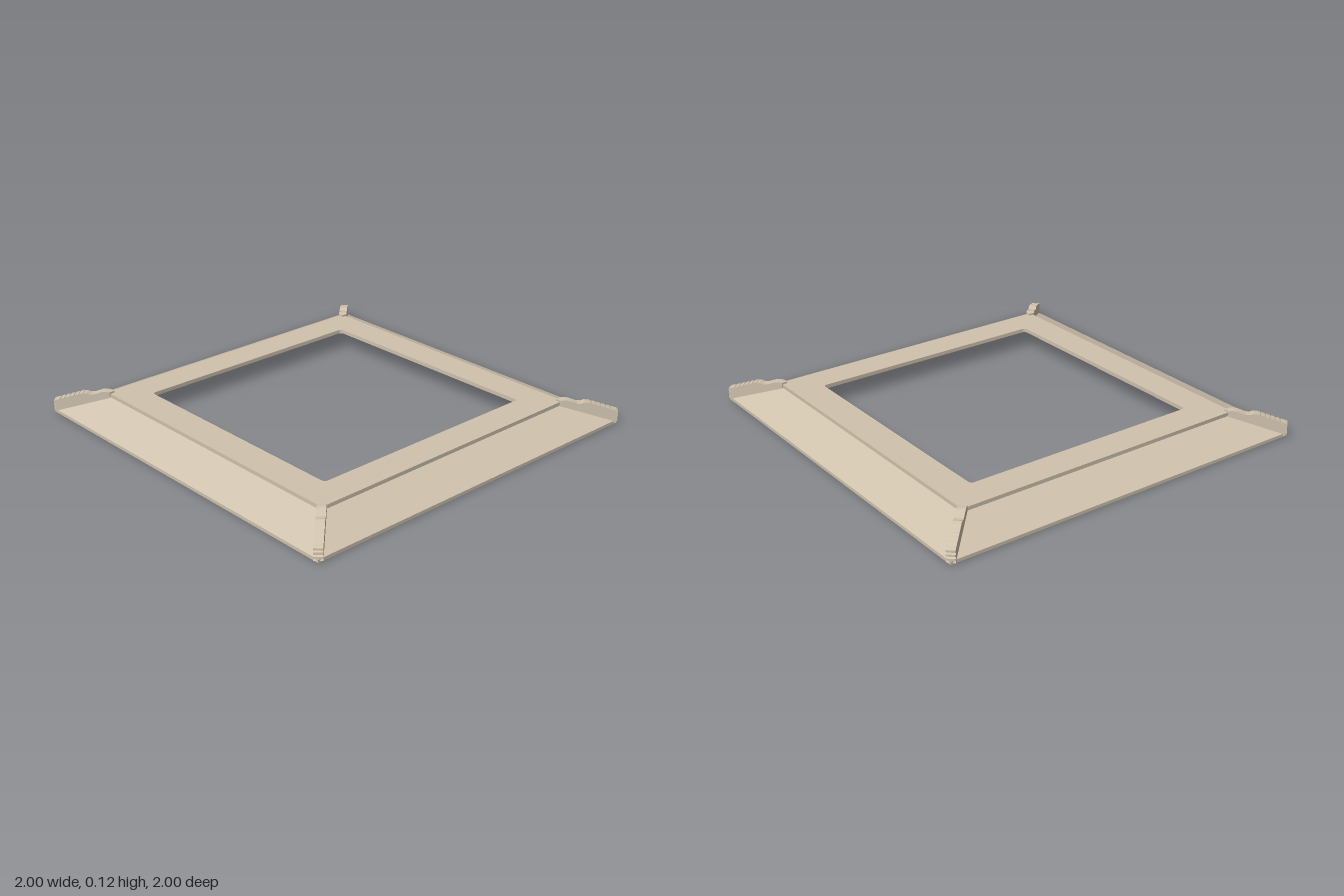
import * as THREE from 'three';
import { toCreasedNormals } from 'three/addons/utils/BufferGeometryUtils.js';

const tan = new THREE.MeshStandardMaterial({ color: 0xd0c3ae });
tan.name = 'warm stone';

function add(group, name, geometry, crease = 0.3) {
  const mesh = new THREE.Mesh(toCreasedNormals(geometry, crease), tan);
  mesh.name = name;
  group.add(mesh);
  return mesh;
}

// Square ring swept from a cross-section of [half side, height] points
function squareRing(section) {
  const points = section.map(([r, y]) => new THREE.Vector2(r * Math.SQRT2, y));
  points.push(points[0].clone());
  return new THREE.LatheGeometry(points, 4, Math.PI / 4);
}

// Square outline with rounded corners
function roundedSquare(Type, h, r) {
  const s = new Type();
  s.absarc(h - r, h - r, r, 0, Math.PI / 2);
  s.absarc(r - h, h - r, r, Math.PI / 2, Math.PI);
  s.absarc(r - h, r - h, r, Math.PI, Math.PI * 1.5);
  s.absarc(h - r, r - h, r, Math.PI * 1.5, Math.PI * 2);
  s.closePath();
  return s;
}

// Side profile of a hip ornament, as [distance from centre along x, height]
function hipShape() {
  const profile = [[0.785, 0.085], [0.955, 0.018], [0.972, 0.008], [0.982, 0.01]];
  // Ribbed outer end
  for (let i = 0; i < 3; i++) {
    const y = 0.018 + i * 0.02;
    profile.push([0.979, y], [0.985, y + 0.004], [0.985, y + 0.014], [0.979, y + 0.018]);
  }
  // Small steps climbing the ridge
  for (let i = 0; i < 6; i++) {
    const d = 0.975 - i * 0.017, y = 0.077 + i * 0.007;
    profile.push([d, y], [d - 0.011, y + 0.005], [d - 0.013, y + 0.002]);
  }
  // Notch and raised inner scroll
  profile.push([0.868, 0.116], [0.855, 0.109], [0.843, 0.109], [0.826, 0.117],
    [0.812, 0.124], [0.795, 0.125], [0.785, 0.122]);
  return new THREE.Shape(profile.map(([d, y]) => new THREE.Vector2(d * Math.SQRT2, y)));
}

export function createModel() {
  const group = new THREE.Group();
  group.name = 'roofSkirt';

  // Sloping eaves, hollow underneath, with a thin upright edge
  add(group, 'slopingEaves', squareRing([
    [0.975, 0], [0.987, 0.004], [0.987, 0.02], [0.795, 0.095], [0.795, 0.11],
    [0.78, 0.11], [0.78, 0.085], [0.965, 0.012],
  ]));

  // Flat top plate with the large opening
  const plate = roundedSquare(THREE.Shape, 0.795, 0.004);
  plate.holes.push(roundedSquare(THREE.Path, 0.636, 0.02));
  const plateGeometry = new THREE.ExtrudeGeometry(plate, { depth: 0.02, bevelEnabled: false, curveSegments: 6 });
  plateGeometry.rotateX(-Math.PI / 2);
  plateGeometry.translate(0, 0.094, 0);
  add(group, 'topPlate', plateGeometry);

  // Ornament along each hip
  const width = 0.042;
  const hip = new THREE.ExtrudeGeometry(hipShape(), { depth: width, bevelEnabled: false });
  hip.translate(0, 0, -width / 2);
  for (let i = 0; i < 4; i++) {
    const ornament = add(group, 'hipOrnament' + (i + 1), hip);
    ornament.rotation.y = Math.PI / 4 + i * Math.PI / 2;
    // Wedge that closes the inner end against the plate
    const tip = new THREE.CylinderGeometry(width / 2, width / 2, 0.038, 4, 1);
    tip.translate(0.785 * Math.SQRT2, 0.104, 0);
    add(group, 'hipTip' + (i + 1), tip).rotation.y = ornament.rotation.y;
  }
  return group;
}
